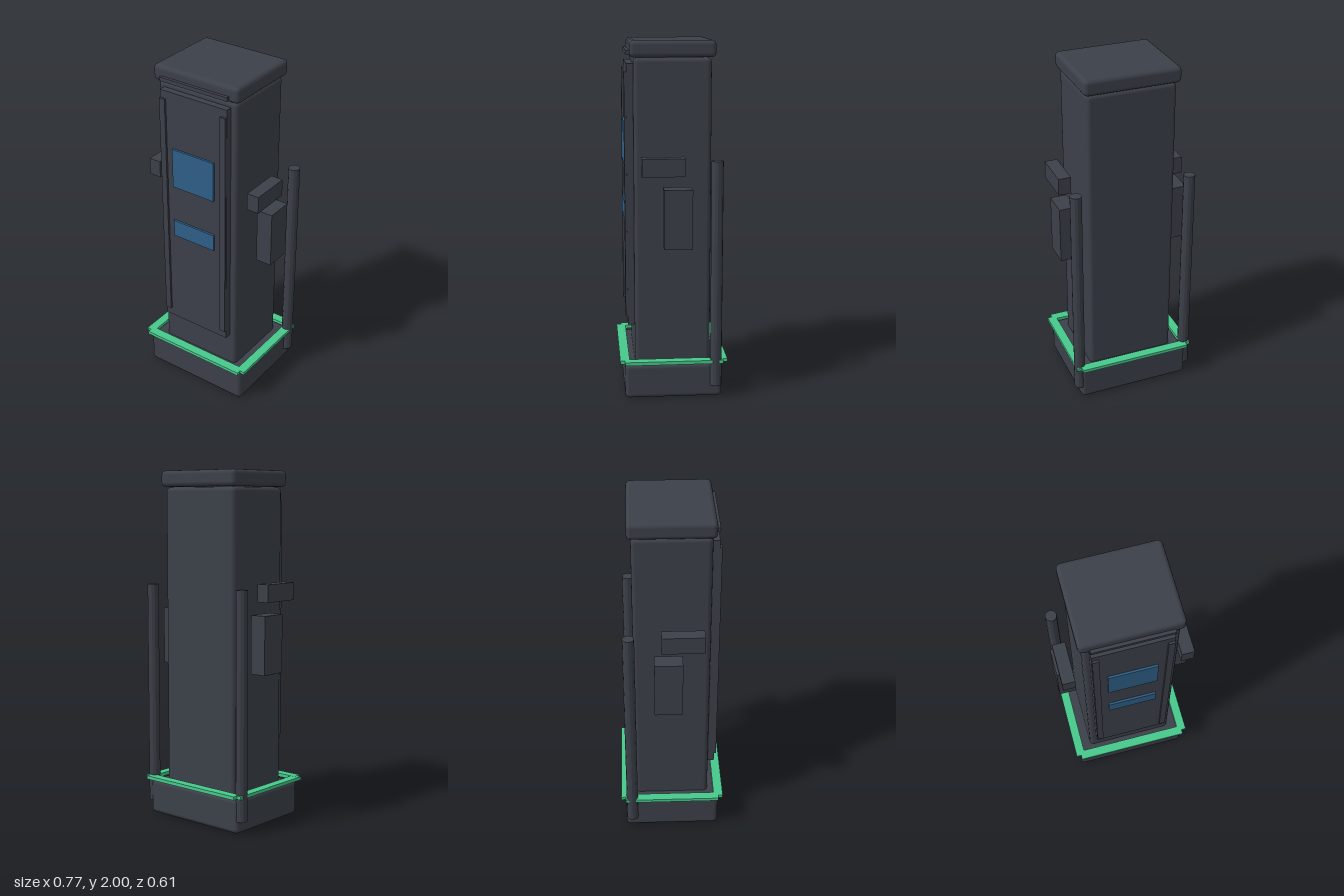
import * as THREE from 'three';
import { RoundedBoxGeometry } from 'three/addons/geometries/RoundedBoxGeometry.js';

export function createModel() {
  const model = new THREE.Group();
  model.name = 'chargingKiosk';

  const makeMaterial = (name, color) => {
    const m = new THREE.MeshStandardMaterial({ color });
    m.name = name;
    return m;
  };
  const casing = makeMaterial('darkCasing', 0x3c4049);
  const glass = makeMaterial('blueScreen', 0x2f5f87);
  const glow = makeMaterial('greenTrim', 0x48c98c);

  const add = (name, geometry, material, x, y, z) => {
    const mesh = new THREE.Mesh(geometry, material);
    mesh.name = name;
    mesh.position.set(x, y, z);
    model.add(mesh);
  };
  // Boxes are given by their minimum and maximum on each axis
  const box = (name, material, [x0, x1], [y0, y1], [z0, z1], radius = 0) => {
    const size = [x1 - x0, y1 - y0, z1 - z0];
    const geometry = radius
      ? new RoundedBoxGeometry(...size, 2, radius)
      : new THREE.BoxGeometry(...size);
    add(name, geometry, material, (x0 + x1) / 2, (y0 + y1) / 2, (z0 + z1) / 2);
  };
  const mirrored = (side, a, b) => (side > 0 ? [a, b] : [-b, -a]);

  // Plinth, cabinet and cap
  box('base', casing, [-0.334, 0.334], [0, 0.198], [-0.274, 0.274], 0.025);
  box('cabinet', casing, [-0.256, 0.256], [0.16, 1.907], [-0.214, 0.214], 0.025);
  box('cap', casing, [-0.275, 0.275], [1.908, 2], [-0.236, 0.235], 0.025);

  // Front door, its trim and screens
  box('frontPanel', casing, [-0.217, 0.217], [0.4, 1.875], [0.2, 0.252]);
  box('capStrip', casing, [-0.217, 0.217], [1.923, 1.945], [0.225, 0.253]);
  box('mainScreen', glass, [-0.137, 0.137], [1.31, 1.545], [0.25, 0.264]);
  box('lowerScreen', glass, [-0.137, 0.137], [0.99, 1.09], [0.25, 0.264]);

  // Front and back bars of the glowing frame
  box('frameFront', glow, [-0.334, 0.334], [0.205, 0.225], [0.248, 0.302]);
  box('frameBack', glow, [-0.334, 0.334], [0.205, 0.225], [-0.304, -0.25]);

  // Parts repeated on the left and right
  const pole = new THREE.CylinderGeometry(0.033, 0.033, 1.282, 12).toNonIndexed();
  pole.computeVertexNormals();
  for (const side of [1, -1]) {
    const label = side > 0 ? 'left' : 'right';
    box(`${label}DoorRail`, casing, mirrored(side, 0.179, 0.215), [0.45, 1.83], [0.25, 0.264]);
    box(`${label}FrameBar`, glow, mirrored(side, 0.309, 0.362), [0.2052, 0.2248], [-0.277, 0.275]);
    box(`${label}Holster`, casing, mirrored(side, 0.287, 0.383), [0.875, 1.205], [-0.1, 0.057]);
    box(`${label}Handle`, casing, mirrored(side, 0.298, 0.371), [1.275, 1.375], [-0.06, 0.176]);
    add(`${label}Pole`, pole, casing, side * 0.335, 0.714, -0.238);
  }

  return model;
}
